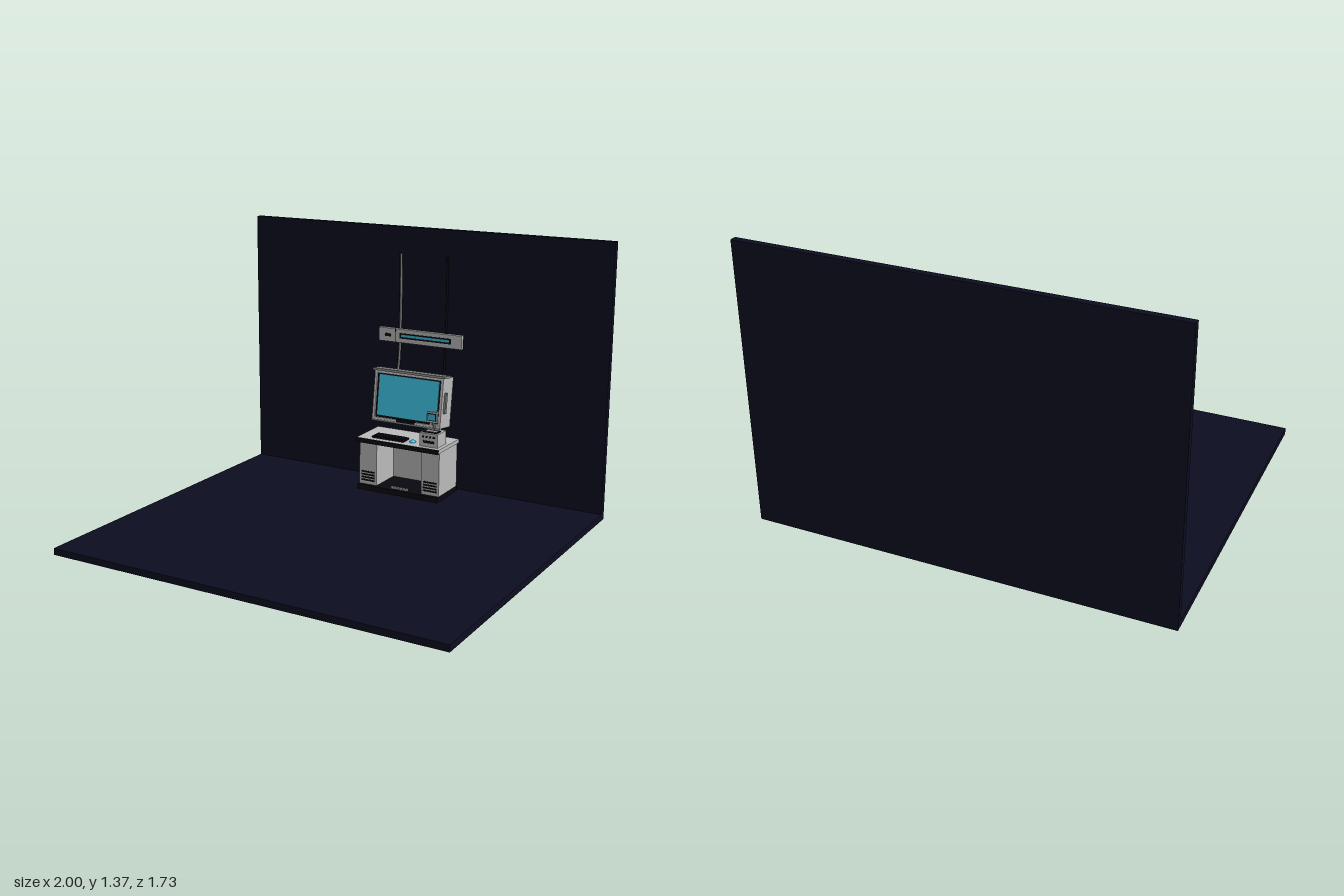
import * as THREE from 'three';

const mat = (name, color, extra = {}) => {
  const m = new THREE.MeshStandardMaterial({ color, ...extra });
  m.name = name;
  return m;
};

export function createModel() {
  const navy = mat('navy', 0x0d0d21);
  const grey = mat('lightGrey', 0xbababa);
  const midGrey = mat('midGrey', 0x848484);
  const black = mat('black', 0x08080f);
  const cyan = mat('cyan', 0x3bbadb);

  const model = new THREE.Group();
  model.name = 'computerCorner';
  const group = (name, parent = model) => {
    const g = new THREE.Group();
    g.name = name;
    parent.add(g);
    return g;
  };
  // box given by its extents on each axis
  const box = (parent, name, m, x0, x1, y0, y1, z0, z1) => {
    const mesh = new THREE.Mesh(new THREE.BoxGeometry(x1 - x0, y1 - y0, z1 - z0), m);
    mesh.position.set((x0 + x1) / 2, (y0 + y1) / 2, (z0 + z1) / 2);
    mesh.name = name;
    parent.add(mesh);
    return mesh;
  };
  // rectangular frame with an opening, front facing +z
  const frame = (parent, name, m, w, h, border, depth, z) => {
    const s = new THREE.Shape();
    s.moveTo(-w / 2, -h / 2).lineTo(w / 2, -h / 2).lineTo(w / 2, h / 2).lineTo(-w / 2, h / 2).closePath();
    const a = w / 2 - border, b = h / 2 - border;
    const hole = new THREE.Path();
    hole.moveTo(-a, -b).lineTo(-a, b).lineTo(a, b).lineTo(a, -b).closePath();
    s.holes.push(hole);
    const mesh = new THREE.Mesh(new THREE.ExtrudeGeometry(s, { depth, bevelEnabled: false }), m);
    mesh.position.z = z;
    mesh.name = name;
    parent.add(mesh);
    return mesh;
  };

  // Room
  const room = group('room');
  box(room, 'floor', navy, -1, 1, 0, 0.032, -0.865, 0.865);
  box(room, 'wall', navy, -1, 1, 0.032, 1.37, -0.865, -0.833);

  // Desk with two pedestals and a knee space
  const desk = group('desk');
  box(desk, 'plinth', black, -0.23, 0.23, 0.032, 0.058, -0.805, -0.58);
  box(desk, 'backPanel', grey, -0.13, 0.13, 0.058, 0.29, -0.805, -0.785);
  box(desk, 'deskTop', grey, -0.235, 0.235, 0.29, 0.31, -0.812, -0.578);
  box(desk, 'deskEdge', black, -0.235, 0.235, 0.287, 0.309, -0.578, -0.57);
  for (const side of [-1, 1]) {
    const cx = side * 0.178;
    box(desk, 'pedestal', grey, cx - 0.05, cx + 0.05, 0.058, 0.29, -0.805, -0.6);
    for (let i = 0; i < 4; i++) {
      const y = 0.076 + i * 0.015;
      box(desk, 'vent', black, cx - 0.038, cx + 0.038, y, y + 0.008, -0.601, -0.597);
    }
  }
  for (let i = 0; i < 6; i++) {
    const x = -0.045 + i * 0.0165;
    box(desk, 'footGrip', grey, x, x + 0.01, 0.058, 0.067, -0.615, -0.597);
  }

  // Monitor, leaning back
  const monitor = group('monitor');
  monitor.position.set(0, 0.511, -0.741);
  monitor.rotation.x = -0.13;
  box(monitor, 'housing', grey, -0.195, 0.195, -0.128, 0.128, -0.057, 0.046);
  frame(monitor, 'frontFrame', grey, 0.39, 0.256, 0.014, 0.012, 0.046);
  box(monitor, 'bezel', black, -0.181, 0.181, -0.114, 0.114, 0.045, 0.049);
  box(monitor, 'screen', cyan, -0.17, 0.17, -0.103, 0.108, 0.049, 0.052);
  box(monitor, 'hood', midGrey, -0.204, 0.204, 0.127, 0.139, 0, 0.068);
  box(monitor, 'lowerLip', midGrey, -0.195, 0.195, -0.134, -0.126, 0.04, 0.062);
  box(monitor, 'controlStrip', black, -0.053, 0.053, -0.126, -0.111, 0.057, 0.061);
  for (const s of [-1, 1]) {
    const x = s * 0.2;
    box(monitor, 'sideGrip', midGrey, x - 0.006, x + 0.006, -0.052, 0.052, 0.018, 0.036);
  }

  // Bracket between monitor and wall
  const bracket = box(model, 'wallBracket', grey, -0.11, 0.11, 0.42, 0.58, -0.85, -0.792);
  bracket.rotation.x = -0.1;

  // Keyboard and mouse
  const keyboard = group('keyboard');
  box(keyboard, 'keyboardBase', black, -0.16, 0.02, 0.31, 0.32, -0.672, -0.608);
  for (let r = 0; r < 3; r++) {
    const z = -0.664 + r * 0.018;
    box(keyboard, 'keyRow', navy, -0.153, 0.013, 0.32, 0.324, z, z + 0.013);
  }
  const mouse = new THREE.Mesh(new THREE.SphereGeometry(0.016, 16, 8, 0, Math.PI * 2, 0, Math.PI / 2), cyan);
  mouse.name = 'mouse';
  mouse.scale.set(1, 0.8, 1.2);
  mouse.position.set(0.057, 0.31, -0.64);
  model.add(mouse);

  // Card reader with a small display on a stem
  const reader = group('cardReader');
  box(reader, 'readerBody', grey, 0.115, 0.215, 0.31, 0.38, -0.698, -0.602);
  box(reader, 'readerTopPlate', black, 0.125, 0.205, 0.379, 0.383, -0.663, -0.615);
  box(reader, 'readerTopPad', grey, 0.135, 0.195, 0.382, 0.386, -0.65, -0.627);
  box(reader, 'readerSlot', black, 0.135, 0.195, 0.33, 0.342, -0.603, -0.599);
  for (let i = 0; i < 4; i++) {
    const x = 0.13 + i * 0.02;
    box(reader, 'readerButton', black, x, x + 0.01, 0.357, 0.366, -0.603, -0.599);
  }
  box(reader, 'stemFoot', grey, 0.135, 0.195, 0.38, 0.412, -0.684, -0.668);
  const stemCurve = new THREE.CatmullRomCurve3([
    new THREE.Vector3(0.165, 0.385, -0.672),
    new THREE.Vector3(0.165, 0.415, -0.658),
    new THREE.Vector3(0.165, 0.445, -0.645),
  ]);
  const stem = new THREE.Mesh(new THREE.TubeGeometry(stemCurve, 8, 0.006, 8), midGrey);
  stem.name = 'displayStem';
  reader.add(stem);
  box(reader, 'displayCase', grey, 0.136, 0.194, 0.427, 0.484, -0.648, -0.636);
  box(reader, 'displayBorder', black, 0.142, 0.188, 0.437, 0.476, -0.637, -0.6345);
  box(reader, 'displayScreen', cyan, 0.146, 0.184, 0.441, 0.472, -0.6355, -0.633);

  // Wall light bar
  const bar = group('lightBar');
  box(bar, 'barCase', grey, -0.235, 0.235, 0.775, 0.845, -0.835, -0.812);
  box(bar, 'barDivider', black, -0.141, -0.138, 0.775, 0.845, -0.813, -0.811);
  box(bar, 'barRecess', black, -0.115, 0.178, 0.797, 0.825, -0.813, -0.81);
  box(bar, 'barLight', cyan, -0.105, 0.168, 0.806, 0.818, -0.811, -0.808);
  for (const x of [-0.192, -0.174]) {
    const dot = new THREE.Mesh(new THREE.CylinderGeometry(0.009, 0.009, 0.003, 12), black);
    dot.name = 'barSpeaker';
    dot.rotation.x = Math.PI / 2;
    dot.position.set(x, 0.81, -0.811);
    bar.add(dot);
  }

  // Cables running up the wall from the monitor
  const cable = (name, m, x, r) => {
    const pts = [[0, 0.59, -0.80], [-0.002, 0.66, -0.822], [0.001, 0.81, -0.828], [0.003, 1.0, -0.829], [0.006, 1.237, -0.822]];
    const curve = new THREE.CatmullRomCurve3(pts.map(([dx, y, z]) => new THREE.Vector3(x + dx, y, z)));
    const mesh = new THREE.Mesh(new THREE.TubeGeometry(curve, 24, r, 8), m);
    mesh.name = name;
    model.add(mesh);
  };
  cable('greyCable', midGrey, -0.121, 0.006);
  cable('blackCableRight', black, -0.129, 0.003);
  cable('blackCableLeft', black, 0.139, 0.006);

  return model;
}
